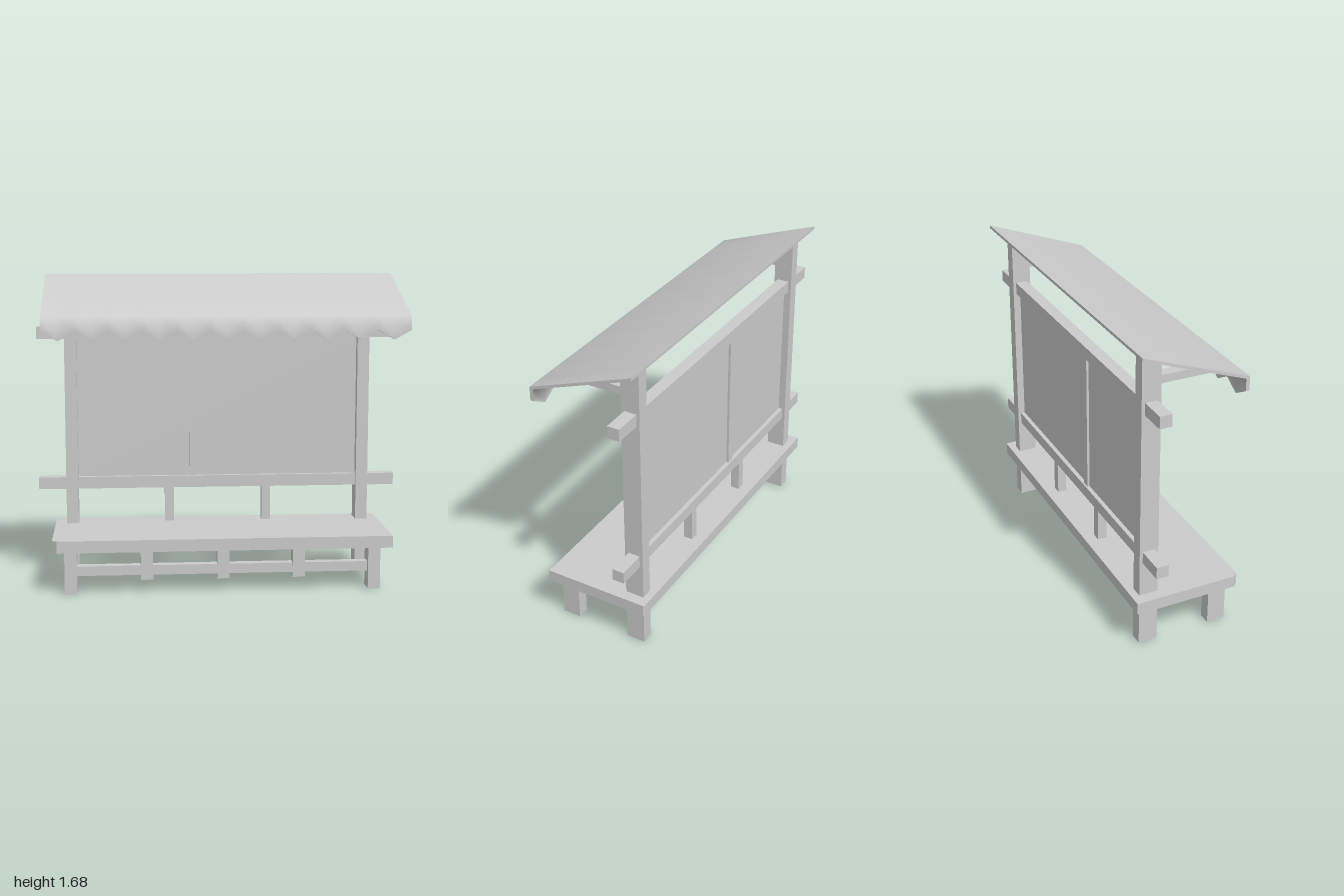
import * as THREE from 'three';

const mat = new THREE.MeshStandardMaterial({ color: 0xcccccc });

function add(group, name, geometry) {
  const mesh = new THREE.Mesh(geometry, mat);
  mesh.name = name;
  group.add(mesh);
  return mesh;
}

// Box given by its limits on each axis
function box(group, name, [x0, x1], [y0, y1], [z0, z1]) {
  const g = new THREE.BoxGeometry(x1 - x0, y1 - y0, z1 - z0);
  g.translate((x0 + x1) / 2, (y0 + y1) / 2, (z0 + z1) / 2);
  return add(group, name, g);
}

const toShape = pts => new THREE.Shape(pts.map(p => new THREE.Vector2(...p)));

// Side profile of [z, y] points, extruded along x and centred on cx
function sideProfile(group, name, pts, width, cx) {
  const g = new THREE.ExtrudeGeometry(toShape(pts), { depth: width, bevelEnabled: false });
  g.translate(0, 0, -width / 2).rotateY(-Math.PI / 2).translate(cx, 0, 0);
  return add(group, name, g);
}

// Plan outline of [x, z] points, extruded down from the given top
function planProfile(group, name, pts, top, depth, hole) {
  const s = toShape(pts);
  if (hole) s.holes.push(toShape(hole));
  const g = new THREE.ExtrudeGeometry(s, { depth, bevelEnabled: false });
  g.rotateX(Math.PI / 2).translate(0, top, 0);
  return add(group, name, g);
}

// Smooth surface through a grid of points (rows of equal length)
function sheet(group, name, rows) {
  const n = rows[0].length, index = [];
  for (let r = 0; r < rows.length - 1; r++)
    for (let c = 0; c < n - 1; c++) {
      const a = r * n + c, b = a + n;
      index.push(a, b, b + 1, a, b + 1, a + 1);
    }
  const g = new THREE.BufferGeometry();
  g.setAttribute('position', new THREE.Float32BufferAttribute(rows.flat(2), 3));
  g.setIndex(index);
  g.computeVertexNormals();
  return add(group, name, g);
}

const ROOF = { backZ: -0.295, backY: 1.685, eaveZ: 0.275, eaveY: 1.475, thick: 0.016 };
const roofUnder = z => ROOF.eaveY - ROOF.thick
  + (ROOF.eaveZ - z) * (ROOF.backY - ROOF.eaveY) / (ROOF.eaveZ - ROOF.backZ);

// Sloping canopy that turns down into a zigzag valance
function buildCanopy() {
  const canopy = new THREE.Group();
  canopy.name = 'canopy';
  const x0 = -0.95, x1 = 0.99, teeth = 11, cols = teeth * 2 + 1;
  const row = (z, y, drop = 0) => Array.from({ length: cols }, (_, i) =>
    [x0 + (x1 - x0) * i / (cols - 1), y - (i % 2) * drop, z]);
  const innerZ = ROOF.eaveZ - 0.02;
  const outer = [row(ROOF.backZ, ROOF.backY), row(ROOF.eaveZ, ROOF.eaveY), row(ROOF.eaveZ, 1.4, 0.05)];
  const inner = [row(ROOF.backZ, roofUnder(ROOF.backZ)), row(innerZ, roofUnder(innerZ)), row(innerZ, 1.4, 0.05)];
  sheet(canopy, 'canopyTop', outer);
  sheet(canopy, 'canopyUnderside', [...inner].reverse());
  sheet(canopy, 'valanceEdge', [outer[2], inner[2]]);
  sheet(canopy, 'canopyBackEdge', [inner[0], outer[0]]);
  sheet(canopy, 'canopyLeftEdge', outer.map((o, i) => [o[cols - 1], inner[i][cols - 1]]));
  sheet(canopy, 'canopyRightEdge', outer.map((o, i) => [inner[i][0], o[0]]));
  return canopy;
}

// Bench top, hollow underneath, with a clipped front corner
function buildBench() {
  const bench = new THREE.Group();
  bench.name = 'bench';
  const outline = [[-0.91, -0.285], [0.9, -0.285], [0.907, -0.278], [0.907, 0.3], [-0.885, 0.3], [-0.91, 0.278]];
  const hole = outline.map(([x, z]) => [x - Math.sign(x) * 0.008, z - Math.sign(z) * 0.008]);
  planProfile(bench, 'benchTop', outline, 0.3, 0.01);
  planProfile(bench, 'benchRim', outline, 0.29, 0.055, hole);

  // Front legs joined by a rail with hanging blocks
  for (const s of [-1, 1])
    box(bench, 'frontLeg', [s * 0.815 - 0.033, s * 0.815 + 0.033], [0, 0.291], [0.16, 0.26]);
  box(bench, 'footRail', [-0.785, 0.785], [0.095, 0.147], [0.185, 0.235]);
  for (const x of [-0.41, 0, 0.407])
    box(bench, 'railBlock', [x - 0.033, x + 0.033], [0.07, 0.291], [0.175, 0.245]);
  return bench;
}

export function createModel() {
  const model = new THREE.Group();
  model.name = 'benchShelter';
  model.add(buildCanopy(), buildBench());

  // Main posts cut to the roof slope, each with a wedge-ended arm
  const armTop = 1.523, armBottom = 1.48;
  const slope = (ROOF.backY - ROOF.eaveY) / (ROOF.eaveZ - ROOF.backZ);
  const zUnder = y => ROOF.eaveZ - (y - ROOF.eaveY + ROOF.thick) / slope;
  for (const s of [-1, 1]) {
    sideProfile(model, 'post', [[-0.245, 0], [-0.142, 0], [-0.142, roofUnder(-0.142)],
      [-0.245, roofUnder(-0.245)]], 0.066, s * 0.815);
    sideProfile(model, 'roofArm', [[-0.145, armBottom], [zUnder(armBottom), armBottom],
      [zUnder(armTop), armTop], [-0.145, armTop]], 0.06, s * 0.815);
  }

  // Cross beams
  for (const [name, y] of [['lowerBeam', 0.493], ['upperBeam', 1.332]])
    box(model, name, [-1, 1], [y, y + 0.066], [-0.228, -0.162]);

  // Back board with its divider
  box(model, 'backBoard', [-0.785, 0.785], [0.555, 1.335], [-0.205, -0.185]);
  box(model, 'boardDivider', [-0.16, -0.117], [0.555, 1.335], [-0.218, -0.172]);

  // Short struts between the bench and the lower beam
  for (const s of [-1, 1])
    box(model, 'strut', [s * 0.273 - 0.025, s * 0.273 + 0.025], [0.295, 0.495], [-0.22, -0.17]);

  return model;
}
